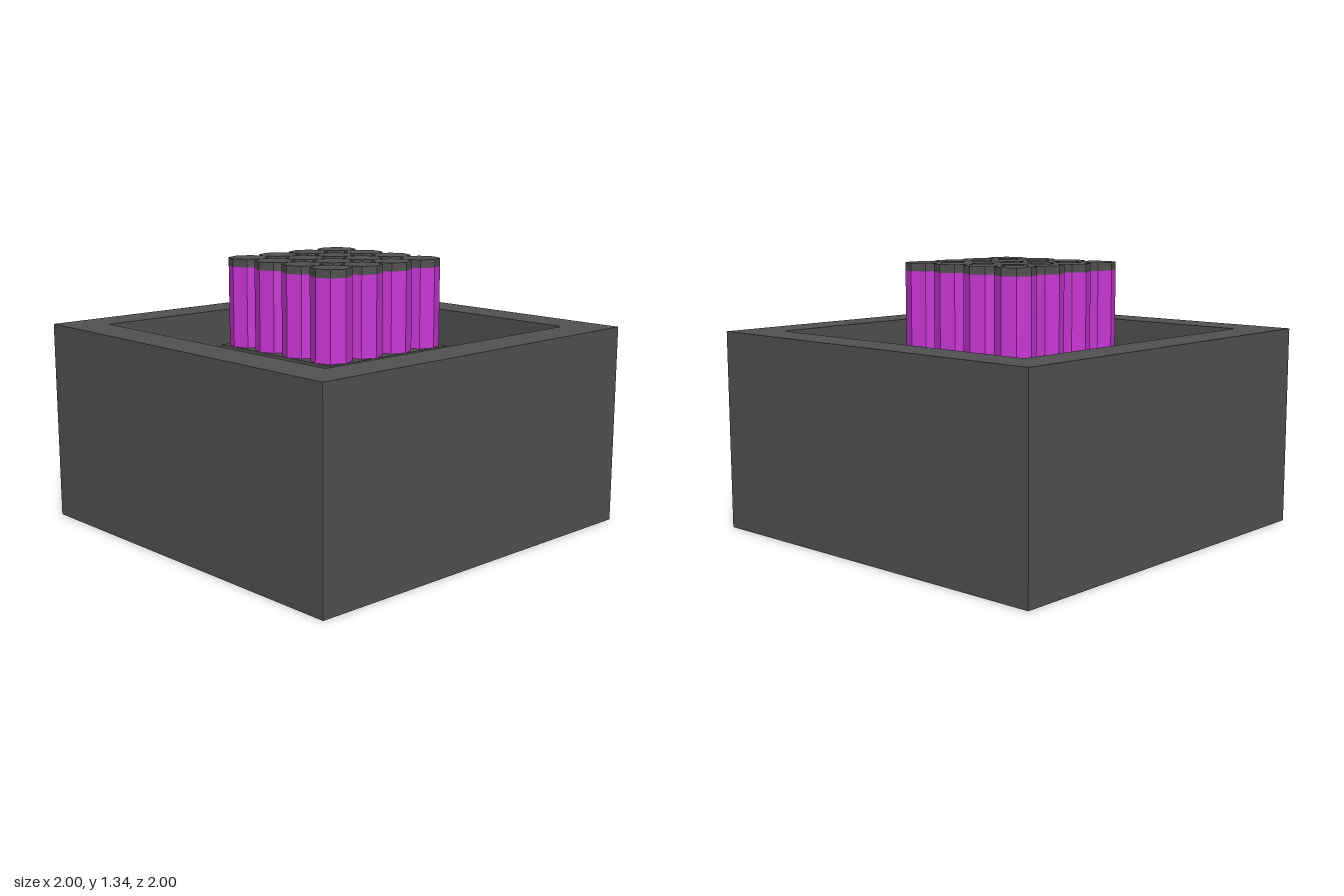
import * as THREE from 'three';

const dark = new THREE.MeshStandardMaterial({ color: 0x505050, flatShading: true });
const purple = new THREE.MeshStandardMaterial({ color: 0xc835d4, flatShading: true });

function addMesh(parent, name, geometry, material, x, y, z) {
  const mesh = new THREE.Mesh(geometry, material);
  mesh.name = name;
  mesh.position.set(x, y, z);
  parent.add(mesh);
  return mesh;
}

export function createModel() {
  const model = new THREE.Group();
  model.name = 'launcherBlock';

  // Square housing with a shallow recess, turned from a four-sided profile
  const profile = [[0, 0], [1, 0], [1, 1], [0.8, 1], [0.8, 0.8], [0, 0.8]]
    .map(([r, y]) => new THREE.Vector2(r * Math.SQRT2, y));
  addMesh(model, 'housing', new THREE.LatheGeometry(profile, 4, Math.PI / 4), dark, 0, 0, 0);

  // Raised plate in the recess
  addMesh(model, 'plinth', new THREE.BoxGeometry(0.8, 0.1, 0.8), dark, 0, 0.85, 0);

  // Four by four bank of capped octagonal tubes
  const tubeGeometry = new THREE.CylinderGeometry(0.1, 0.1, 0.4, 8);
  const capGeometry = new THREE.CylinderGeometry(0.1, 0.1, 0.04, 8);
  for (let row = 0; row < 4; row++) {
    for (let col = 0; col < 4; col++) {
      const cell = new THREE.Group();
      cell.name = `tube_${row + 1}_${col + 1}`;
      cell.position.set(-0.3 + col * 0.2, 0.9, -0.3 + row * 0.2);
      addMesh(cell, 'tubeBody', tubeGeometry, purple, 0, 0.2, 0);
      addMesh(cell, 'tubeCap', capGeometry, dark, 0, 0.42, 0);
      model.add(cell);
    }
  }
  return model;
}
